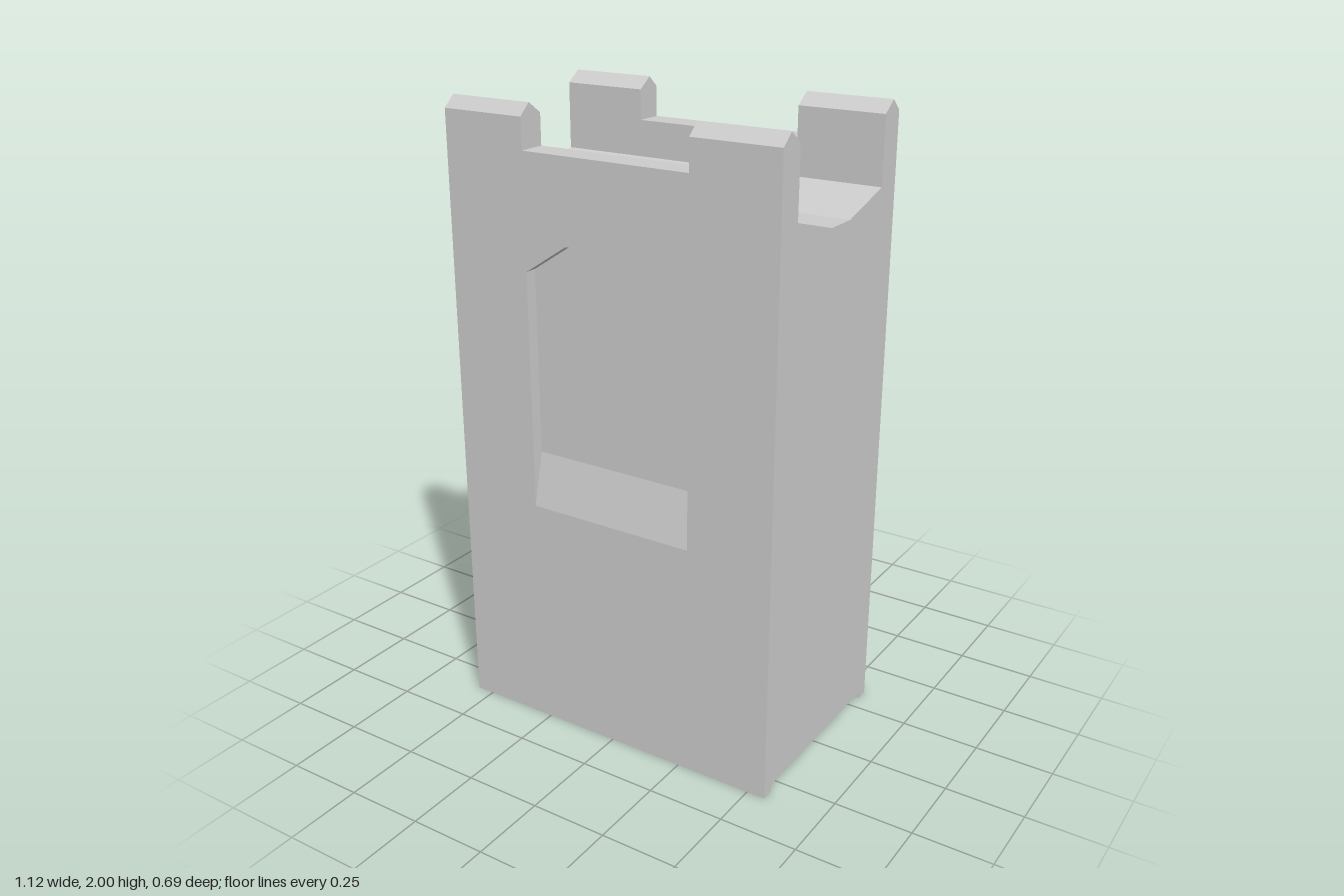
import * as THREE from 'three';

const W = 0.56, D = 0.345;          // half width, half depth
const IN = 0.255, MID = 0.305;      // parapet inner face, ridge / niche back
const T = 0.04, GAP = 0.28;         // wall thickness, half width of gap and niche
const NOTCH = 0.025, CEIL = 1.66;

const material = new THREE.MeshStandardMaterial({ color: 0xcccccc, side: THREE.DoubleSide });

function add(group, name, geometry) {
  const mesh = new THREE.Mesh(geometry, material);
  mesh.name = name;
  group.add(mesh);
  return mesh;
}

// Flat plate facing +z, with an optional hole
function plate(points, hole) {
  const toV2 = (list) => list.map(([x, y]) => new THREE.Vector2(x, y));
  const shape = new THREE.Shape(toV2(points));
  if (hole) shape.holes.push(new THREE.Path(toV2(hole)));
  return new THREE.ShapeGeometry(shape);
}

// Flat-faced band of quads between two polylines
function band(a, b) {
  const pos = [];
  for (let i = 0; i < a.length - 1; i++) {
    pos.push(...a[i], ...a[i + 1], ...b[i + 1], ...a[i], ...b[i + 1], ...b[i]);
  }
  const geometry = new THREE.BufferGeometry();
  geometry.setAttribute('position', new THREE.Float32BufferAttribute(pos, 3));
  geometry.computeVertexNormals();
  return geometry;
}

// A [z, y] profile carried along x
const sweepX = (profile, x0, x1) =>
  band(profile.map(([z, y]) => [x0, y, z]), profile.map(([z, y]) => [x1, y, z]));

// A symmetric [z, y] plate standing at x and facing left (+1) or right (-1)
const endPlate = (points, x, facing) =>
  plate(points.map(([z, y]) => [-facing * z, y])).rotateY(facing * Math.PI / 2).translate(x, 0, 0);

const mirrored = (half) => [...half, ...half.map(([u, v]) => [-u, v]).reverse()];

// Arched niche outline with a given sill height
const niche = (sill) => [
  [-GAP, sill], [GAP, sill], [GAP, 1.515], [0.135, 1.61], [0, 1.625], [-0.135, 1.61], [-GAP, 1.515],
];

const roof = [[IN, 1.965], [MID, 2], [D, 1.965]];

function createSide() {
  const side = new THREE.Group();
  const battlement = (bottom) => mirrored([[W, bottom], [W, 1.965], [GAP, 1.965], [GAP, 1.87]]);

  // Outer face with the niche opening, and the parapet's inner face
  add(side, 'wallFace', plate(battlement(0), niche(0.76)).translate(0, 0, D));
  add(side, 'parapetInnerFace', plate(battlement(1.755)).rotateY(Math.PI).translate(0, 0, IN));

  // Niche back, reveal and sloping sill
  add(side, 'nicheBack', plate(niche(0.93)).translate(0, 0, MID));
  const loop = (sill, z) => [...niche(sill), niche(sill)[0]].map(([x, y]) => [x, y, z]);
  add(side, 'nicheReveal', band(loop(0.76, D), loop(0.93, MID)));

  // Merlon roofs and cheeks, ledge between them
  add(side, 'parapetLedge', sweepX([[IN, 1.87], [D, 1.87]], -GAP, GAP));
  for (const s of [-1, 1]) {
    add(side, 'merlonRoof', sweepX(roof, s > 0 ? GAP : -W, s > 0 ? W : -GAP));
    add(side, 'merlonCheek', endPlate([[IN, 1.87], ...roof, [D, 1.87]], s * GAP, -s));
  }
  return side;
}

export function createModel() {
  const model = new THREE.Group();
  model.name = 'castleWall';

  const front = createSide();
  front.name = 'frontSide';
  const back = createSide();
  back.name = 'backSide';
  back.rotation.y = Math.PI;
  model.add(front, back);

  // Gutter running along the top
  const gutter = [[-IN, 1.755], [-0.055, 1.70], [0.055, 1.70], [IN, 1.755]];
  add(model, 'gutter', sweepX(gutter, -W, W));

  // End walls; the left one has a shallow notch at its foot
  const foot = [[MID, NOTCH], [MID, 0]];
  const upper = [[D, 0], [D, 1.965], [MID, 2], [IN, 1.965], [IN, 1.755], [0.055, 1.70]];
  add(model, 'leftEndWall', endPlate(mirrored([...foot, ...upper]), W, 1));
  add(model, 'rightEndWall', endPlate(mirrored(upper), -W, -1));

  // Hollow inside, narrowing behind the niches
  const cavity = (y) => mirrored([[MID, y], [MID, 0.68], [0.265, 0.86], [0.265, CEIL]]);
  add(model, 'cavity', sweepX(cavity(0), -W + T, W - T));
  add(model, 'cavityLeftEnd', endPlate(cavity(NOTCH), W - T, -1));
  add(model, 'cavityRightEnd', endPlate(cavity(0), -W + T, 1));

  // Underside rim and the notch lining
  const rim = [[W, D], [-W, D], [-W, -D], [W, -D], [W, -MID], [-W + T, -MID], [-W + T, MID], [W, MID]];
  add(model, 'bottomRim', plate(rim).rotateX(Math.PI / 2));
  add(model, 'notchLining', sweepX([[MID, 0], [MID, NOTCH], [-MID, NOTCH], [-MID, 0]], W - T, W));

  return model;
}
